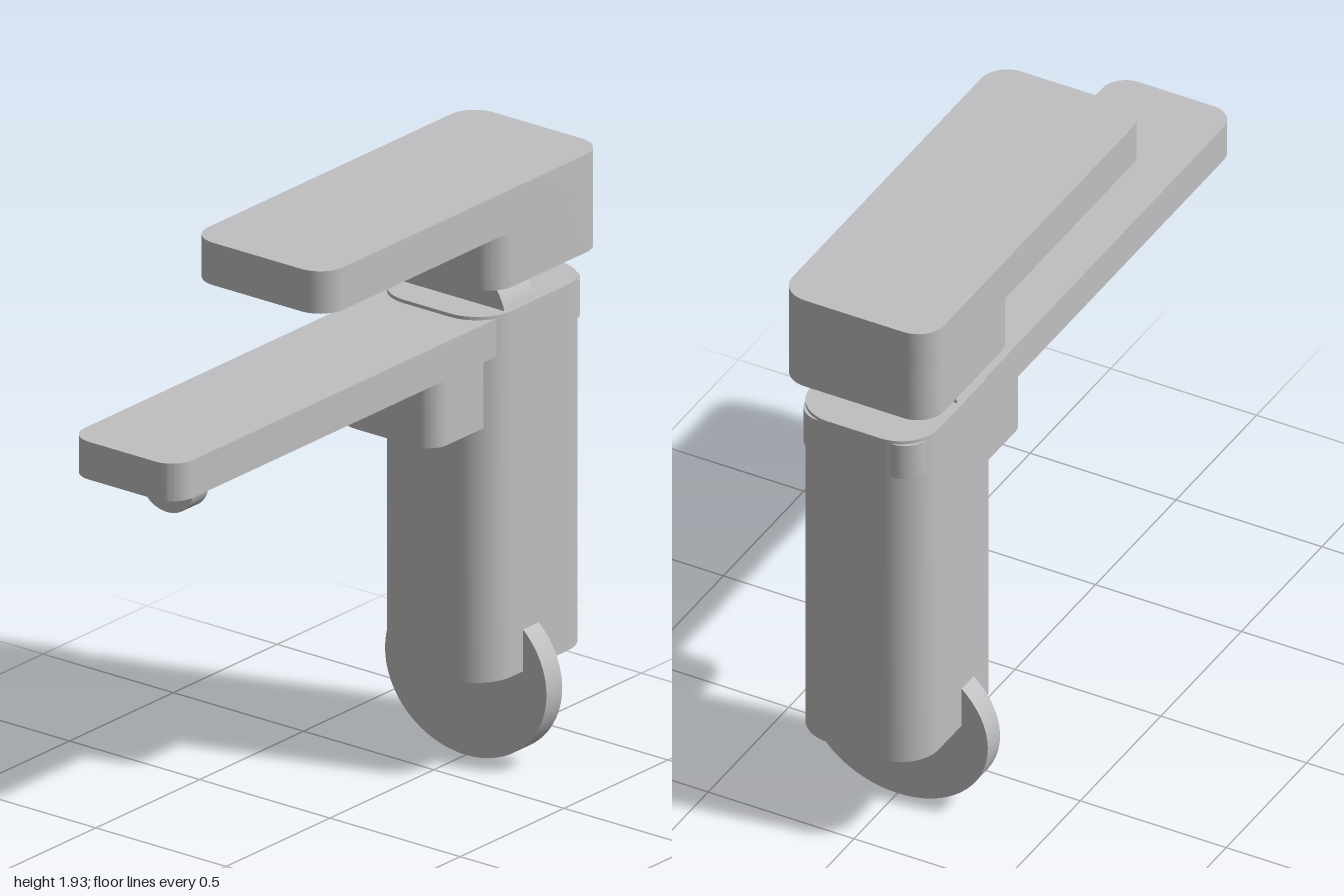
import * as THREE from 'three';
import { toCreasedNormals } from 'three/addons/utils/BufferGeometryUtils.js';

const metal = new THREE.MeshStandardMaterial({ color: 0xc0c0c2 });
metal.name = 'brushed grey';

// Upright slab with rounded vertical edges, given by half width, z range, y range and corner radius
function slab(name, w, z0, z1, y0, y1, r) {
  const s = new THREE.Shape();
  // the shape's y becomes -z once the extrusion is stood upright
  const a = -z1, b = -z0;
  s.moveTo(-w + r, a);
  s.lineTo(w - r, a);
  s.absarc(w - r, a + r, r, -Math.PI / 2, 0, false);
  s.lineTo(w, b - r);
  s.absarc(w - r, b - r, r, 0, Math.PI / 2, false);
  s.lineTo(-w + r, b);
  s.absarc(-w + r, b - r, r, Math.PI / 2, Math.PI, false);
  s.lineTo(-w, a + r);
  s.absarc(-w + r, a + r, r, Math.PI, Math.PI * 1.5, false);
  const g = new THREE.ExtrudeGeometry(s, { depth: y1 - y0, bevelEnabled: false, curveSegments: 8 });
  g.rotateX(-Math.PI / 2).translate(0, y0, 0);
  const mesh = new THREE.Mesh(toCreasedNormals(g, 0.6), metal);
  mesh.name = name;
  return mesh;
}

// Oval disc facing the front
function disc(name, rx, ry, y, z0, z1) {
  const g = new THREE.CylinderGeometry(1, 1, z1 - z0, 64);
  g.rotateX(Math.PI / 2).scale(rx, ry, 1).translate(0, y, (z0 + z1) / 2);
  const mesh = new THREE.Mesh(g, metal);
  mesh.name = name;
  return mesh;
}

export function createModel() {
  const tap = new THREE.Group();
  tap.name = 'basinTap';
  tap.add(
    // column, with the spout running through its top
    slab('body', 0.22, -1, -0.466, 0.325, 1.508, 0.13),
    slab('spout', 0.208, -0.996, 1, 1.375, 1.497, 0.08),
    slab('spoutSupport', 0.185, -0.7, -0.263, 1.148, 1.38, 0.07),
    // lever handle and its thick rear block
    slab('handleLever', 0.26, -1, 0.35, 1.79, 1.927, 0.09),
    slab('handleBase', 0.26, -1, -0.466, 1.61, 1.79, 0.09),
    // oval discs
    disc('neck', 0.21, 0.183, 1.47, -0.73, -0.582),
    disc('outlet', 0.1, 0.087, 1.322, 0.71, 0.785),
    disc('baseDisc', 0.31, 0.27, 0.27, -0.73, -0.654)
  );
  return tap;
}
